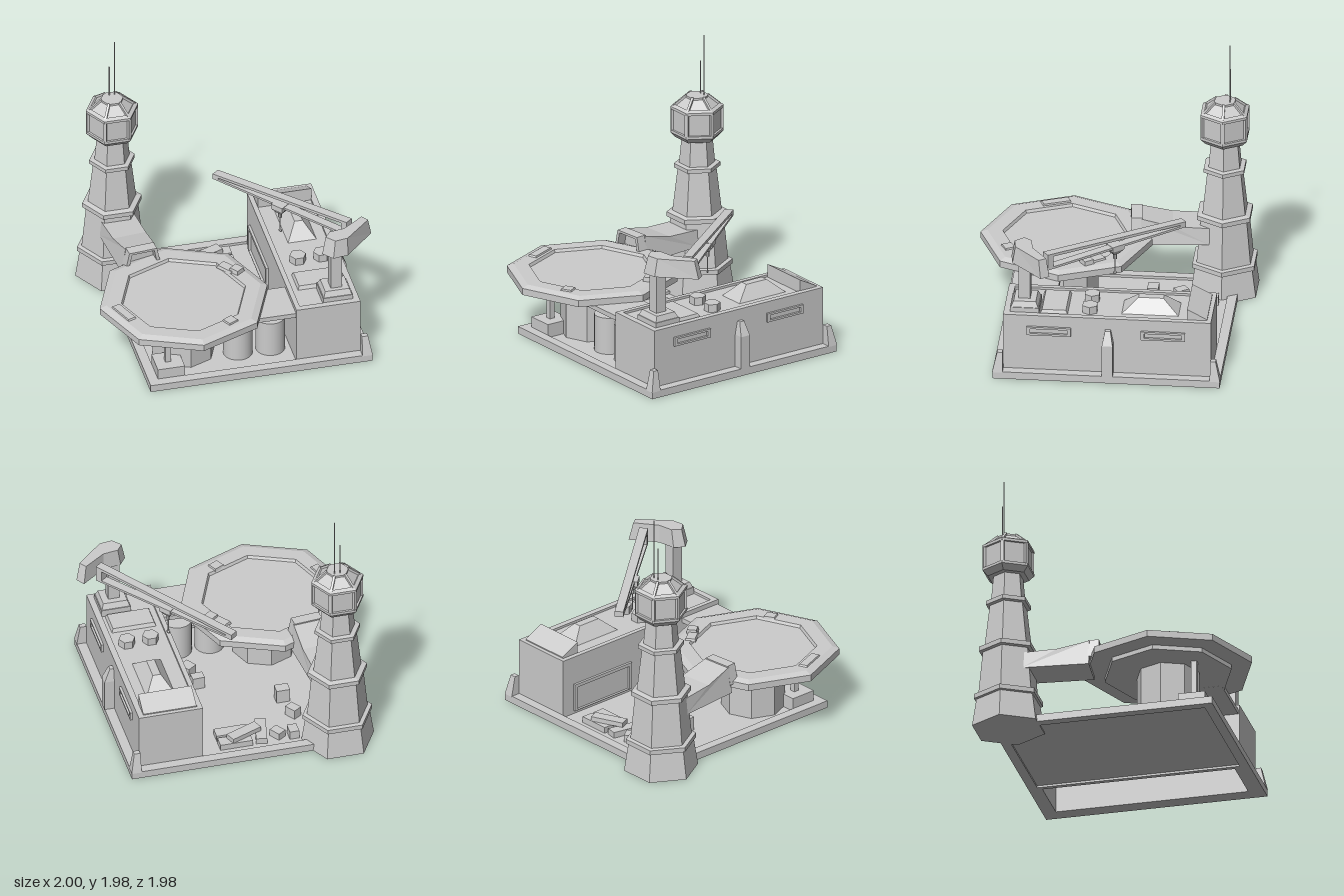
import * as THREE from 'three';

const flat = new THREE.MeshStandardMaterial({ color: 0xcccccc, flatShading: true, side: THREE.DoubleSide });
const smooth = new THREE.MeshStandardMaterial({ color: 0xcccccc, side: THREE.DoubleSide });

function add(parent, name, geo, x = 0, y = 0, z = 0, ry = 0, mat = flat) {
  const m = new THREE.Mesh(geo, mat);
  m.name = name;
  m.position.set(x, y, z);
  m.rotation.y = ry;
  parent.add(m);
  return m;
}

// Box standing on y = 0 whose top is scaled by sx, sz and shifted by dx, dz
function block(w, h, d, sx = 1, sz = 1, dx = 0, dz = 0) {
  const g = new THREE.BoxGeometry(w, h, d).translate(0, h / 2, 0);
  const p = g.attributes.position;
  for (let i = 0; i < p.count; i++) {
    if (p.getY(i) > h / 2) {
      p.setX(i, p.getX(i) * sx + dx);
      p.setZ(i, p.getZ(i) * sz + dz);
    }
  }
  g.computeVertexNormals();
  return g;
}

const toPoints = (a) => a.map(([x, y]) => new THREE.Vector2(x, y));

function extrude(outline, hole, depth) {
  const s = new THREE.Shape(toPoints(outline));
  if (hole) s.holes.push(new THREE.Path(toPoints(hole)));
  return new THREE.ExtrudeGeometry(s, { depth, bevelEnabled: false });
}

// Horizontal plate from an x,z outline between two heights
const plate = (outline, hole, y0, y1) => extrude(outline, hole, y1 - y0).rotateX(Math.PI / 2).translate(0, y1, 0);
const rect = (x0, x1, z0, z1) => [[x0, z0], [x1, z0], [x1, z1], [x0, z1]];
const lathe = (profile, sides) => new THREE.LatheGeometry(toPoints(profile), sides);

function buildBase(g) {
  add(g, 'curb', plate(rect(-0.72, 0.92, -0.87, 0.77), rect(-0.65, 0.85, -0.8, 0.7), 0, 0.055));
  add(g, 'floor', block(1.05, 0.02, 1.52), -0.14, 0.015, -0.05);
  // Corner posts and middle buttress beside the building
  for (const [z, s] of [[0.735, 1], [-0.835, -1]]) add(g, 'cornerPost', block(0.075, 0.15, 0.075, 0.6, 0.5, -0.012, -0.015 * s), 0.885, 0.05, z);
  add(g, 'buttress', block(0.075, 0.25, 0.078), 0.885, 0.05, -0.058);
  add(g, 'buttressCap', block(0.075, 0.1, 0.078, 0.4, 0.5, -0.022), 0.885, 0.3, -0.058);
}

function buildBuilding(g) {
  add(g, 'walls', plate(rect(0.375, 0.85, -0.8, 0.7), rect(0.41, 0.805, -0.77, 0.655), 0, 0.487));
  add(g, 'roof', block(0.42, 0.02, 1.45), 0.61, 0.45, -0.055);
  // Window frames
  for (const z of [0.37, -0.455]) {
    const f = extrude(rect(-0.16, 0.16, -0.033, 0.033), rect(-0.135, 0.135, -0.018, 0.018), 0.02);
    add(g, 'windowFrame', f, 0.848, 0.368, z, Math.PI / 2);
  }
  // Yard door
  add(g, 'doorFrame', extrude([[-0.275, 0], [0.275, 0], [0.275, 0.21], [-0.275, 0.21]],
    [[-0.25, 0.005], [0.25, 0.005], [0.25, 0.185], [-0.25, 0.185]], 0.02), 0.377, 0.06, -0.425, -Math.PI / 2);
  // Rooftop equipment
  add(g, 'skylight', block(0.21, 0.1, 0.41, 0.28, 0.44), 0.625, 0.47, -0.35);
  const wedge = extrude([[0, 0], [0.145, 0], [0.145, 0.105], [0, 0.03]], null, 0.395);
  add(g, 'roofWedge', wedge, 0.81, 0.465, -0.77, -Math.PI / 2);
  for (const x of [0.535, 0.71]) add(g, 'vent', new THREE.CylinderGeometry(0.06, 0.06, 0.06, 6), x, 0.498, 0.085, Math.PI / 6);
  add(g, 'hatch', block(0.33, 0.03, 0.2, 0.93, 0.86), 0.615, 0.468, 0.34);
}

function buildCrane(g) {
  add(g, 'craneBase', block(0.22, 0.055, 0.21), 0.695, 0.468, 0.55);
  add(g, 'craneCollar', block(0.21, 0.045, 0.2, 0.85, 0.8), 0.695, 0.52, 0.55);
  add(g, 'cranePillar', block(0.082, 0.34, 0.085), 0.695, 0.56, 0.557);
  // Bent head, tapering towards its top
  const head = plate([[0.595, 0.58], [0.645, 0.51], [0.775, 0.49], [0.957, 0.355], [0.998, 0.415], [0.77, 0.64], [0.66, 0.657]], null, 0.865, 1.0);
  const p = head.attributes.position;
  for (let i = 0; i < p.count; i++) {
    if (p.getY(i) > 0.95) p.setXYZ(i, 0.8 + (p.getX(i) - 0.8) * 0.86, p.getY(i), 0.51 + (p.getZ(i) - 0.51) * 0.83);
  }
  head.computeVertexNormals();
  add(g, 'craneHead', head);
  // Open triangular boom
  const boom = extrude([[0, 0], [1.2, 0], [1.2, 0.125], [0, 0.043]],
    [[0.05, 0.017], [1.15, 0.017], [1.15, 0.1], [0.05, 0.026]], 0.064).translate(0, 0, -0.032);
  add(g, 'craneBoom', boom, 0.075, 0.865, -0.53, -Math.atan2(0.95, 0.785));
  // Trolley with hook
  const t = new THREE.Group();
  t.name = 'trolley';
  t.position.set(0.443, 0, -0.07);
  t.rotation.y = -0.88;
  g.add(t);
  add(t, 'trolleyBody', block(0.1, 0.04, 0.09), 0, 0.845, 0);
  add(t, 'trolleyTaper', block(0.05, 0.035, 0.04, 2, 2.2), 0, 0.81, 0);
  add(t, 'pulley', new THREE.CylinderGeometry(0.014, 0.014, 0.05, 8), 0, 0.79, 0);
  add(t, 'cable', new THREE.CylinderGeometry(0.004, 0.004, 0.11, 6), 0, 0.715, 0);
  add(t, 'hook', new THREE.TorusGeometry(0.012, 0.004, 6, 12, 4.2).rotateZ(Math.PI * 0.95), 0, 0.652, 0);
}

function buildPad(g) {
  const pad = new THREE.Group();
  pad.name = 'landingPad';
  pad.position.set(-0.377, 0, 0.36);
  g.add(pad);
  add(pad, 'padDeck', lathe([[0, 0.45], [0.62, 0.45], [0.62, 0.5], [0.57, 0.518], [0.46, 0.518], [0.45, 0.497], [0, 0.497]], 8));
  add(pad, 'padUnderside', new THREE.CylinderGeometry(0.47, 0.47, 0.035, 8), 0, 0.435, 0);
  add(pad, 'padColumn', new THREE.CylinderGeometry(0.23, 0.23, 0.42, 8), 0, 0.225, 0);
  // Fittings on the rim: x, z, width, height, depth, turn
  for (const [x, z, w, h, d, r] of [[-0.47, 0.12, 0.07, 0.02, 0.22, 0.38], [0.25, 0.395, 0.09, 0.02, 0.08, 0.5],
    [0.385, -0.245, 0.08, 0.022, 0.14, 0.65], [0.44, -0.19, 0.08, 0.04, 0.08, 0.65]])
    add(pad, 'rimFitting', block(w, h, d, 0.85, 0.9), x, 0.51, z, r);
  // Walkway to the building, side post and fuel tanks
  add(g, 'padWalkway', block(0.5, 0.035, 0.34), 0.135, 0.417, 0.52);
  add(g, 'postFoot', block(0.2, 0.105, 0.2), -0.55, 0.03, 0.6);
  add(g, 'sidePost', block(0.04, 0.32, 0.04), -0.555, 0.12, 0.6);
  for (const x of [-0.005, 0.235]) add(g, 'tank', new THREE.CylinderGeometry(0.107, 0.107, 0.285, 28), x, 0.17, 0.48, 0, smooth);
}

function buildBridge(g) {
  const b = new THREE.Group();
  b.name = 'bridge';
  b.position.set(-0.565, 0, -0.09);
  b.rotation.y = 0.1;
  g.add(b);
  // Body falling towards the tower, sides leaning in
  const body = extrude([[0.07, 0.42], [0.07, 0.615], [0.3, 0.56], [0.56, 0.545], [0.56, 0.42]], null, 0.28)
    .translate(0, 0, -0.14).rotateY(Math.PI / 2);
  const p = body.attributes.position;
  for (let i = 0; i < p.count; i++) if (p.getY(i) > 0.5) p.setX(i, p.getX(i) * (1 - (p.getY(i) - 0.5) * 1.8));
  body.computeVertexNormals();
  add(b, 'bridgeBody', body);
  add(b, 'bridgeMouth', extrude([[-0.135, 0.48], [0.135, 0.48], [0.105, 0.622], [-0.105, 0.622]],
    [[-0.105, 0.5], [0.105, 0.5], [0.085, 0.605], [-0.085, 0.605]], 0.08), 0, 0, -0.08);
}

function buildTower(g) {
  const t = new THREE.Group();
  t.name = 'tower';
  t.position.set(-0.633, 0, -0.76);
  g.add(t);
  const turn = Math.PI / 6;
  // Shaft with three bands
  add(t, 'towerShaft', lathe([[0, 0], [0.272, 0], [0.24, 0.21], [0.258, 0.215], [0.258, 0.25], [0.225, 0.255], [0.192, 0.59],
    [0.22, 0.595], [0.22, 0.63], [0.178, 0.64], [0.14, 0.965], [0.168, 0.97], [0.168, 1.0], [0.13, 1.005], [0.112, 1.2]], 6), 0, 0, 0, turn);
  // Lookout room with recessed windows
  add(t, 'lookout', lathe([[0.1, 1.2], [0.155, 1.2], [0.193, 1.24], [0.193, 1.26], [0.178, 1.262], [0.178, 1.418], [0.193, 1.42],
    [0.193, 1.44], [0.165, 1.455], [0.155, 1.445], [0.085, 1.505], [0.085, 1.52], [0, 1.52]], 6), 0, 0, 0, turn);
  for (let i = 0; i < 6; i++) {
    const a = i * Math.PI / 3;
    const spoke = new THREE.Group();
    spoke.name = 'lookoutFrame';
    spoke.rotation.y = a;
    t.add(spoke);
    add(spoke, 'windowPost', block(0.018, 0.17, 0.026), 0.18, 1.255, 0);
    const rib = add(spoke, 'roofRib', new THREE.BoxGeometry(0.12, 0.016, 0.018), 0.123, 1.482, 0);
    rib.rotation.z = -0.7;
  }
  for (const [x, top] of [[0.03, 1.98], [-0.01, 1.77]])
    add(t, 'antenna', new THREE.CylinderGeometry(0.004, 0.004, top - 1.5, 6), x, (top + 1.5) / 2, -0.04);
}

function buildCrates(g) {
  // x, z, width, height, depth, turn, base height
  for (const [x, z, w, h, d, r, y = 0.03] of [
    [-0.32, -0.7, 0.07, 0.07, 0.09, 0], [-0.21, -0.68, 0.07, 0.06, 0.09, 0.6], [-0.1, -0.625, 0.08, 0.05, 0.24, -0.2],
    [0.11, -0.7, 0.24, 0.05, 0.09, 0], [0.11, -0.59, 0.24, 0.05, 0.09, 0], [0.035, -0.66, 0.25, 0.035, 0.08, 0.4, 0.08],
    [-0.38, -0.47, 0.07, 0.08, 0.09, 0.6], [-0.35, -0.27, 0.1, 0.11, 0.08, 0], [0.2, 0.03, 0.09, 0.1, 0.07, 0.05], [0.235, 0.17, 0.08, 0.1, 0.09, 0.6]])
    add(g, 'crate', block(w, h, d), x, y, z, r);
}

export function createModel() {
  const g = new THREE.Group();
  g.name = 'outpost';
  for (const build of [buildBase, buildBuilding, buildCrane, buildPad, buildBridge, buildTower, buildCrates]) build(g);
  return g;
}
